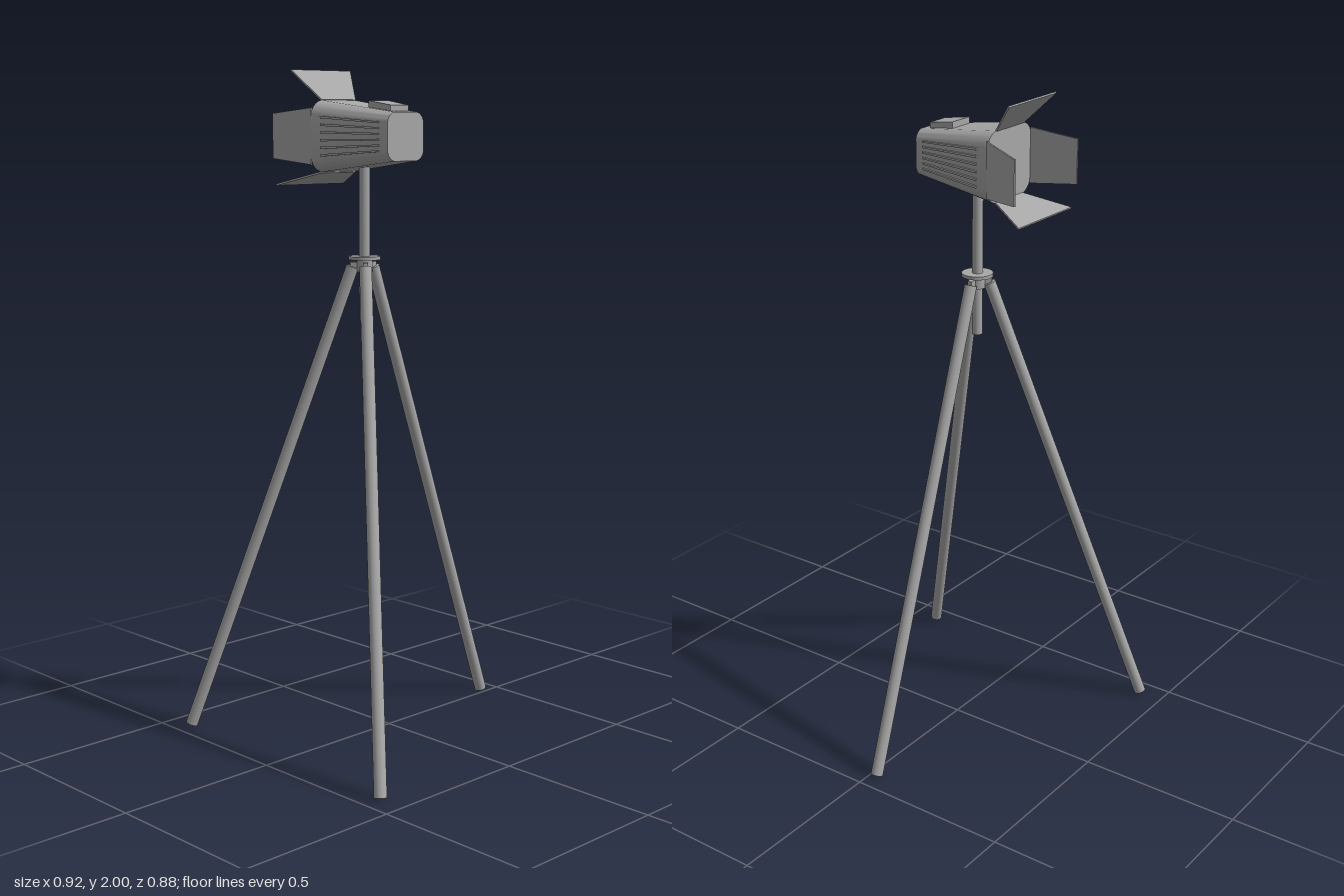
import * as THREE from 'three';
import { toCreasedNormals } from 'three/addons/utils/BufferGeometryUtils.js';

const V = (x, y, z) => new THREE.Vector3(x, y, z);
const CX = -0.1;           // pole and lamp axis
const CY = 1.808;          // lamp centre height
const Z0 = -0.11, Z1 = 0.17;

export function createModel() {
  const model = new THREE.Group();
  model.name = 'tripodSpotlight';
  const metal = new THREE.MeshStandardMaterial({ color: 0xa8a8a8 });
  metal.name = 'grey metal';

  const add = (name, geo, parent = model) => {
    const mesh = new THREE.Mesh(geo, metal);
    mesh.name = name;
    parent.add(mesh);
    return mesh;
  };

  // Rod between two points
  const rod = (name, a, b, r, sides = 24) => {
    const d = b.clone().sub(a);
    const m = add(name, new THREE.CylinderGeometry(r, r, d.length(), sides));
    m.position.copy(a).add(b).multiplyScalar(0.5);
    m.quaternion.setFromUnitVectors(V(0, 1, 0), d.normalize());
    return m;
  };

  // Narrow a shape toward the small end of the housing
  const taper = (geo) => {
    const p = geo.attributes.position;
    for (let i = 0; i < p.count; i++) {
      const s = 1 - 0.34 * (p.getZ(i) - Z0) / (Z1 - Z0);
      p.setXY(i, p.getX(i) * s, p.getY(i) * s);
    }
    return toCreasedNormals(geo, 0.5);
  };

  // Lamp housing: rounded rectangle tapering toward the front
  const lamp = new THREE.Group();
  lamp.name = 'lamp';
  lamp.position.set(CX, CY, 0);
  model.add(lamp);
  const w = 0.109, h = 0.104, c = 0.04;
  const section = new THREE.Shape();
  section.moveTo(-w + c, -h);
  section.lineTo(w - c, -h);
  section.quadraticCurveTo(w - 0.008, -h + 0.008, w, -h + c);
  section.lineTo(w, h - c);
  section.quadraticCurveTo(w - 0.008, h - 0.008, w - c, h);
  section.lineTo(-w + c, h);
  section.quadraticCurveTo(-w + 0.008, h - 0.008, -w, h - c);
  section.lineTo(-w, -h + c);
  section.quadraticCurveTo(-w + 0.008, -h + 0.008, -w + c, -h);
  const housing = new THREE.ExtrudeGeometry(section, { depth: Z1 - Z0, bevelEnabled: false, curveSegments: 5 });
  housing.translate(0, 0, Z0);
  add('housing', taper(housing), lamp);

  // Cooling fins on both sides
  for (const side of [-1, 1]) {
    for (let i = 0; i < 6; i++) {
      const fin = new THREE.BoxGeometry(0.014, 0.007, 0.21);
      fin.translate(side * w, (i - 2.5) * 0.023, 0.035);
      add('coolingFin', taper(fin), lamp);
    }
  }

  // Raised plate on top
  const plate = new THREE.BoxGeometry(0.104, 0.03, 0.085);
  plate.translate(0, h + 0.009, 0.1025);
  add('topPlate', taper(plate), lamp);

  // Barn doors: thin trapezoids from hinge to outer edge
  const door = (name, hinge, outer, along, halfHinge, halfOuter) => {
    const out = outer.clone().sub(hinge);
    const len = out.length(), t = 0.005;
    out.normalize();
    const s = new THREE.Shape([
      new THREE.Vector2(-halfHinge, 0), new THREE.Vector2(halfHinge, 0),
      new THREE.Vector2(halfOuter, len), new THREE.Vector2(-halfOuter, len),
    ]);
    const geo = new THREE.ExtrudeGeometry(s, { depth: t, bevelEnabled: false });
    geo.translate(0, 0, -t / 2);
    const basis = new THREE.Matrix4().makeBasis(along, out, along.clone().cross(out));
    geo.applyMatrix4(basis.setPosition(hinge));
    add(name, geo, lamp);
  };
  const X = V(1, 0, 0), Y = V(0, 1, 0);
  door('topBarnDoor', V(0, 0.104, Z0), V(0, 0.19, -0.186), X, 0.068, 0.118);
  door('bottomBarnDoor', V(0, -0.104, Z0), V(0, -0.142, -0.236), X, 0.068, 0.135);
  door('leftBarnDoor', V(0.11, 0, Z0), V(0.179, 0, -0.252), Y, 0.082, 0.066);
  door('rightBarnDoor', V(-0.107, 0, Z0), V(-0.124, 0, -0.26), Y, 0.082, 0.066);

  // Centre pole, collar disc and leg hub
  rod('pole', V(CX, 1.27, 0), V(CX, 1.73, 0), 0.016);
  rod('collarDisc', V(CX, 1.451, 0), V(CX, 1.461, 0), 0.047, 32);
  rod('legHub', V(CX, 1.415, 0), V(CX, 1.452, 0), 0.023);

  // Three splayed legs with hinge brackets
  for (const [fx, fz] of [[0.444, -0.022], [-0.445, 0.42], [-0.445, -0.42]]) {
    const dir = V(fx - CX, 0, fz).normalize();
    const top = V(CX, 1.43, 0).addScaledVector(dir, 0.036);
    rod('leg', top, V(fx, 0.007, fz), 0.0185);
    const bracket = add('legBracket', new THREE.BoxGeometry(0.03, 0.024, 0.014));
    bracket.position.set(CX, 1.432, 0).addScaledVector(dir, 0.028);
    bracket.rotation.y = Math.atan2(-dir.z, dir.x);
  }
  return model;
}
